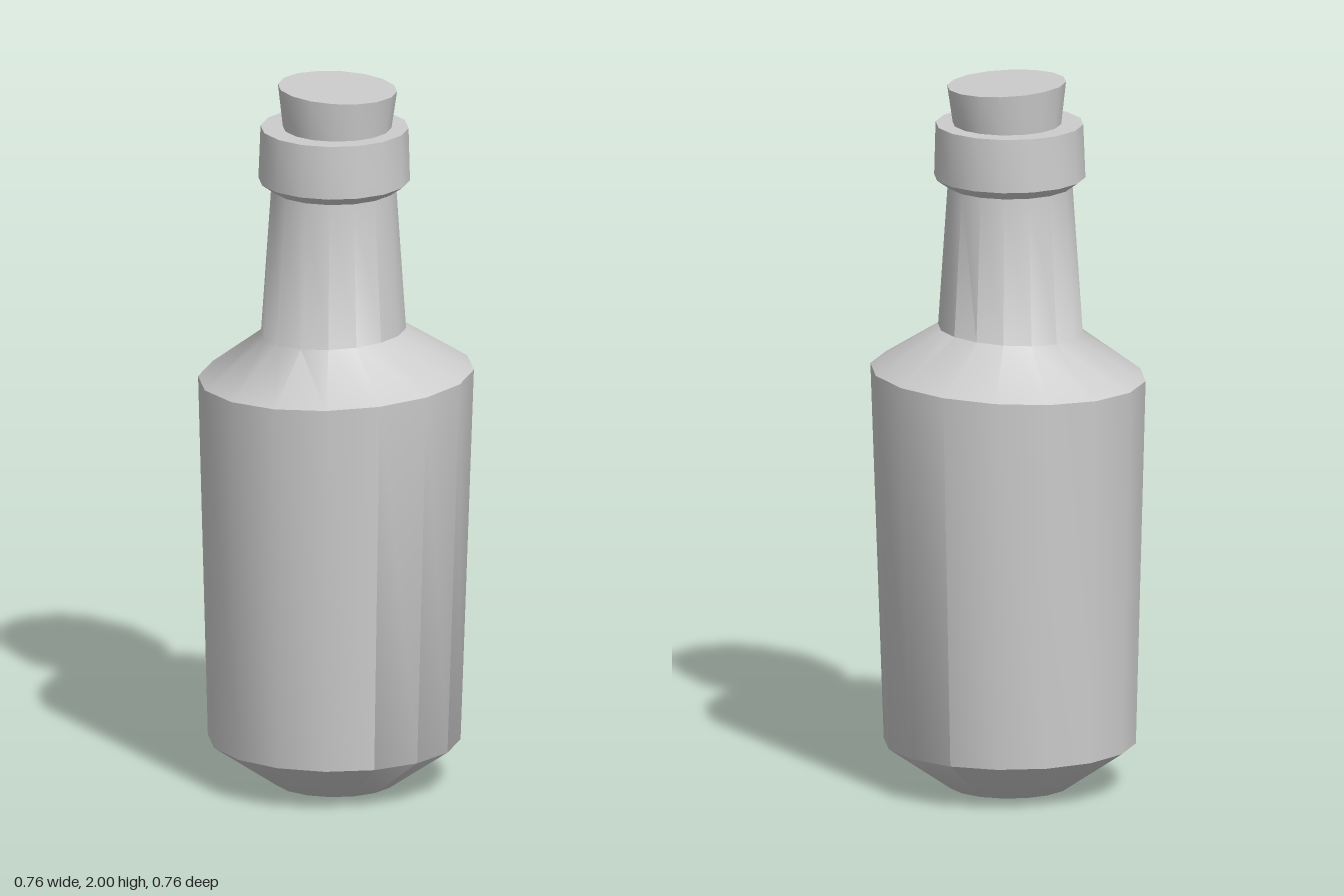
import * as THREE from 'three';
import { toCreasedNormals } from 'three/addons/utils/BufferGeometryUtils.js';

const SIDES = 16;

// Turned shape whose rings may lean: each ring is [radius, y, x offset, lean along x]
function turned(name, rings, creaseDegrees, material) {
  const profile = rings.map(([r, y]) => new THREE.Vector2(r, y));
  const geometry = new THREE.LatheGeometry(profile, SIDES);
  const pos = geometry.attributes.position;
  for (let i = 0; i < pos.count; i++) {
    const [, y, offset = 0, lean = 0] = rings[i % rings.length];
    const x = pos.getX(i);
    pos.setXYZ(i, x + offset, y + lean * x, pos.getZ(i));
  }
  const mesh = new THREE.Mesh(
    toCreasedNormals(geometry, THREE.MathUtils.degToRad(creaseDegrees)), material);
  mesh.name = name;
  return mesh;
}

export function createModel() {
  const grey = new THREE.MeshStandardMaterial({ color: 0xcccccc });
  grey.name = 'plain grey';

  const bottle = new THREE.Group();
  bottle.name = 'bottle';
  bottle.add(
    // Chamfered base, flaring body, leaning shoulder and tapered neck
    turned('body', [
      [0, 0], [0.168, 0, -0.003], [0.35, 0.125, -0.005],
      [0.382, 1.172, 0, 0.045], [0.201, 1.295, -0.007, 0.05], [0.173, 1.71, -0.006],
    ], 53, grey),
    // Lip around the mouth, closed on top
    turned('collar', [
      [0.168, 1.7, -0.006], [0.21, 1.73, -0.005], [0.205, 1.88, -0.004], [0, 1.88, -0.004],
    ], 35, grey),
    // Stopper with a slightly slanted top
    turned('cork', [
      [0.15, 1.875, 0.003], [0.165, 1.992, 0.004, -0.05], [0, 1.992, 0.004],
    ], 35, grey),
  );
  return bottle;
}
